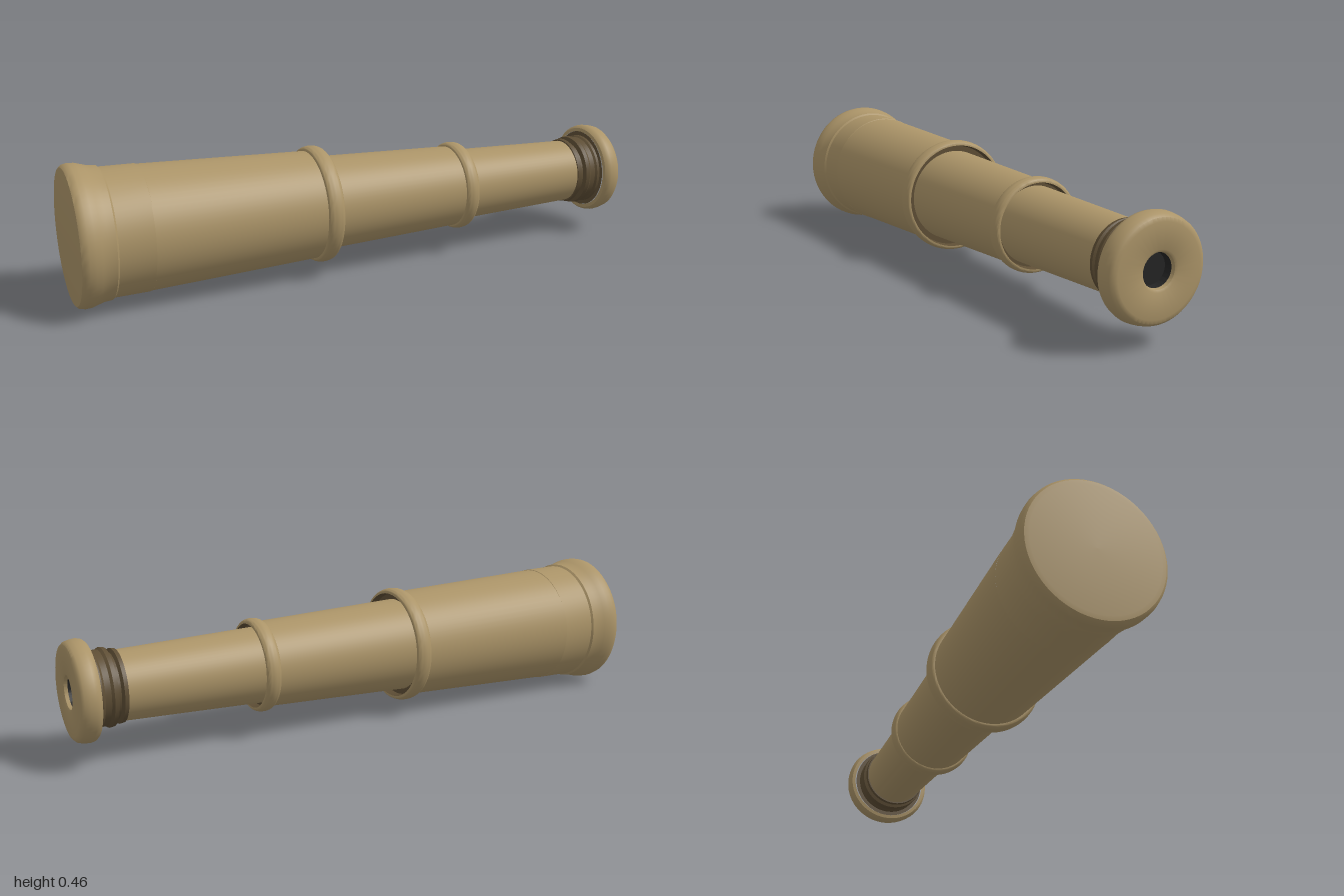
import * as THREE from 'three';
import { toCreasedNormals } from 'three/addons/utils/BufferGeometryUtils.js';

const AXIS_Y = 0.229;

export function createModel() {
  const group = new THREE.Group();
  const make = (name, color) => {
    const m = new THREE.MeshStandardMaterial({ color });
    m.name = name;
    return m;
  };
  const brass = make('brass', 0xab9468);
  const brown = make('dark brown', 0x5e4e35);
  const black = make('lens black', 0x242424);

  // Turned part: profile of [x, radius] running along the x axis
  const turn = (name, material, profile, depthScale = 1) => {
    const points = profile.map(([x, r]) => new THREE.Vector2(r, x));
    const geometry = new THREE.LatheGeometry(points, 64);
    geometry.rotateZ(-Math.PI / 2);
    geometry.scale(1, 1, depthScale);
    geometry.translate(0, AXIS_Y, 0);
    const mesh = new THREE.Mesh(toCreasedNormals(geometry, 0.6), material);
    mesh.name = name;
    group.add(mesh);
  };

  // Wide objective cap with its flared lip and stepped sleeve
  turn('objectiveCap', brass, [
    [-1, 0], [-1, 0.205], [-0.998, 0.218], [-0.99, 0.226], [-0.975, 0.229],
    [-0.955, 0.228], [-0.935, 0.222], [-0.915, 0.216], [-0.89, 0.214],
    [-0.884, 0.208], [-0.768, 0.206], [-0.762, 0.2],
  ], 0.975);

  // Three telescoping tubes
  turn('largeTube', brass, [[-0.77, 0.204], [-0.18, 0.183]], 0.99);
  turn('middleTube', brass, [[-0.185, 0.161], [0.365, 0.142]]);
  turn('smallTube', brass, [[0.36, 0.127], [0.85, 0.112], [0.85, 0.1]]);

  // Rounded collars, each with a dark recess around the narrower tube
  const collar = (name, x, width, outer, base, inner) => {
    const h = width / 2;
    const round = [];
    for (let i = 0; i <= 12; i++) {
      const a = Math.PI * (i / 12);
      round.push([x - h * Math.cos(a), outer - 0.012 + 0.012 * Math.sin(a)]);
    }
    turn(name, brass, [[x - h, base - 0.005], ...round, [x + h, outer - 0.016]]);
    turn(name + 'Recess', brown, [
      [x + h, outer - 0.016], [x + h - 0.025, outer - 0.02], [x + h - 0.025, inner - 0.004],
    ]);
  };
  collar('largeCollar', -0.166, 0.055, 0.199, 0.183, 0.158);
  collar('smallCollar', 0.374, 0.05, 0.156, 0.142, 0.126);

  // Ridged dark neck behind the eyepiece
  turn('neck', brown, [
    [0.842, 0.1], [0.842, 0.117], [0.855, 0.119], [0.862, 0.108], [0.87, 0.108],
    [0.874, 0.124], [0.888, 0.126], [0.896, 0.12], [0.915, 0.12], [0.922, 0.125], [0.94, 0.125],
  ]);

  // Eyepiece with rounded edges and a central bore
  turn('eyepieceBack', brown, [[0.932, 0.118], [0.932, 0.14]]);
  turn('eyepiece', brass, [
    [0.932, 0.14], [0.934, 0.152], [0.942, 0.159], [0.955, 0.162], [0.972, 0.16],
    [0.988, 0.156], [0.997, 0.148], [1, 0.136], [1, 0.06], [0.996, 0.053], [0.985, 0.05],
  ], 1.03);
  turn('eyepieceBore', black, [[0.985, 0.05], [0.96, 0.048], [0.96, 0]], 1.03);

  return group;
}
